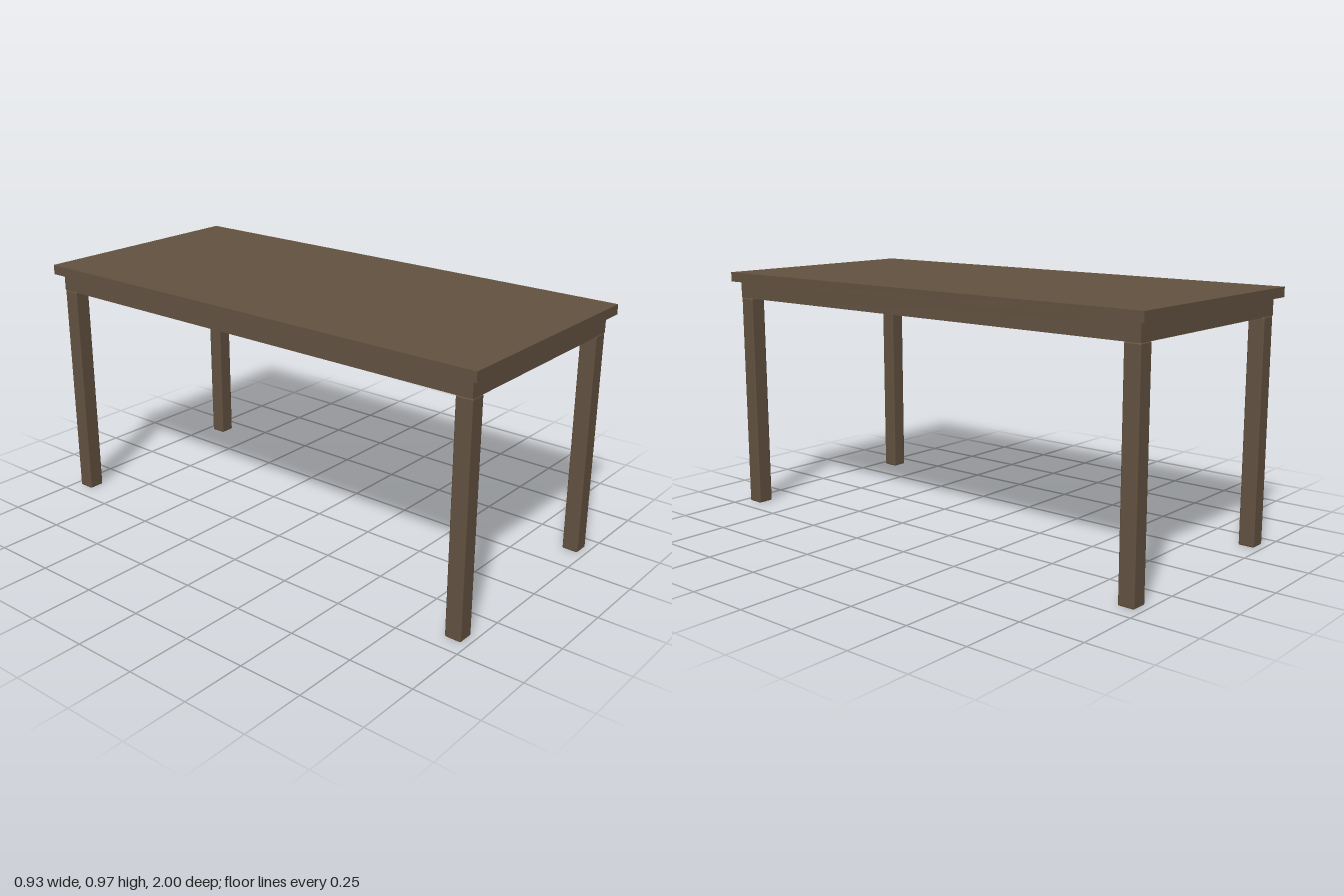
import * as THREE from 'three';
import { RoundedBoxGeometry } from 'three/addons/geometries/RoundedBoxGeometry.js';

export function createModel() {
  const table = new THREE.Group();
  table.name = 'table';
  const wood = new THREE.MeshStandardMaterial({ color: 0x635240 });

  const add = (name, geometry, x, y, z) => {
    const mesh = new THREE.Mesh(geometry, wood);
    mesh.name = name;
    mesh.position.set(x, y, z);
    table.add(mesh);
  };

  // Overhanging slab on top of a solid apron block
  const legH = 0.868, apronH = 0.067, topH = 0.038;
  const apronX = 0.437, apronZ = 0.972;
  add('tabletop', new THREE.BoxGeometry(0.93, topH, 2), 0, legH + apronH + topH / 2, 0);
  add('apron', new THREE.BoxGeometry(apronX * 2, apronH, apronZ * 2), 0, legH + apronH / 2, 0);

  // Square legs with softened edges, flush with the apron corners
  const legW = 0.064;
  const legGeometry = new RoundedBoxGeometry(legW, legH, legW, 2, 0.005);
  for (const [zName, sz] of [['front', 1], ['back', -1]]) {
    for (const [xName, sx] of [['Left', 1], ['Right', -1]]) {
      add(`${zName}${xName}Leg`, legGeometry,
        sx * (apronX - legW / 2), legH / 2, sz * (apronZ - legW / 2));
    }
  }
  return table;
}
